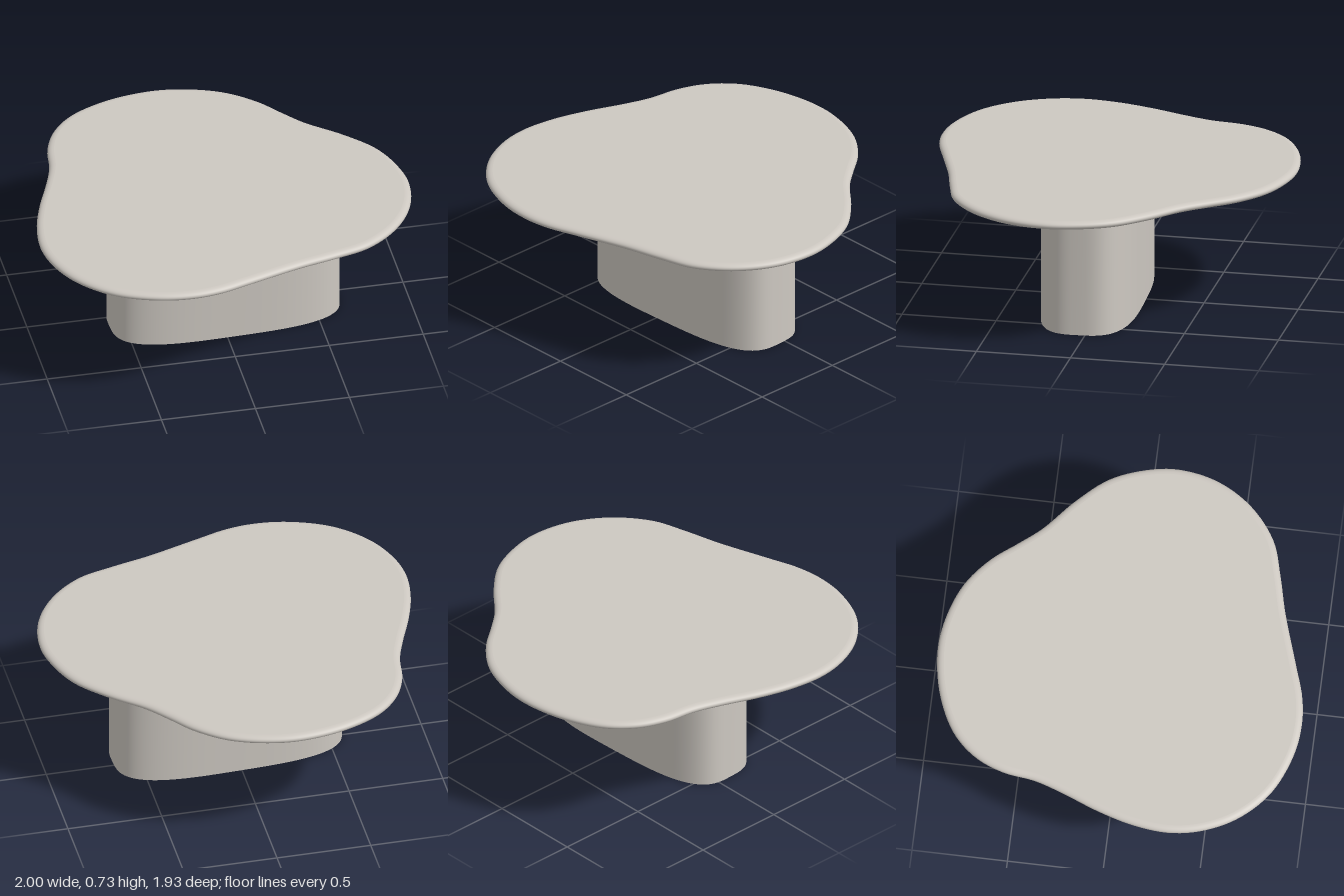
import * as THREE from 'three';
import { mergeGeometries } from 'three/addons/utils/BufferGeometryUtils.js';

// Flat horizontal cap filling an outline of (x, z) points
function cap(outline, y, up) {
  const s = up ? -1 : 1;
  const g = new THREE.ShapeGeometry(new THREE.Shape(outline.map(p => new THREE.Vector2(p.x, s * p.y))));
  g.rotateX(s * Math.PI / 2);
  g.translate(0, y, 0);
  g.deleteAttribute('uv');
  return g;
}

// Smooth wall through a stack of outlines, listed from bottom to top
function wall(rings) {
  const n = rings[0].outline.length, pos = [], idx = [];
  rings.forEach(({ outline, y }, r) => outline.forEach((p, i) => {
    pos.push(p.x, y, p.y);
    if (r + 1 === rings.length) return;
    const a = r * n + i, b = r * n + (i + 1) % n;
    idx.push(a, a + n, b, b, a + n, b + n);
  }));
  const g = new THREE.BufferGeometry();
  g.setAttribute('position', new THREE.Float32BufferAttribute(pos, 3));
  g.setIndex(idx);
  g.computeVertexNormals();
  return g;
}

function solid(rings) {
  const first = rings[0], last = rings[rings.length - 1];
  return mergeGeometries([wall(rings), cap(first.outline, first.y, false), cap(last.outline, last.y, true)]);
}

// Shift an outline inwards along its normals
function inset(outline, d) {
  const n = outline.length;
  return outline.map((p, i) => {
    const t = outline[(i + 1) % n].clone().sub(outline[(i + n - 1) % n]).normalize();
    return new THREE.Vector2(p.x - t.y * d, p.y + t.x * d);
  });
}

export function createModel() {
  const group = new THREE.Group();
  group.name = 'coffeeTable';
  const stone = new THREE.MeshStandardMaterial({ color: 0xcdc8c1 });
  stone.name = 'warmGreyStone';

  // Three-lobed table top with a bullnose edge
  const lobes = [
    [-0.13, -0.97], [0.06, -0.945], [0.24, -0.875], [0.39, -0.755], [0.49, -0.63], [0.59, -0.51],
    [0.76, -0.36], [0.9, -0.2], [0.975, -0.02], [1, 0.15], [0.96, 0.36], [0.845, 0.55],
    [0.67, 0.69], [0.48, 0.75], [0.28, 0.8], [0, 0.89], [-0.17, 0.943], [-0.32, 0.96],
    [-0.5, 0.938], [-0.72, 0.845], [-0.88, 0.69], [-0.97, 0.51], [-1, 0.34], [-0.98, 0.15],
    [-0.925, -0.04], [-0.85, -0.23], [-0.8, -0.38], [-0.773, -0.55], [-0.71, -0.7], [-0.59, -0.83], [-0.38, -0.93],
  ];
  const curve = new THREE.CatmullRomCurve3(lobes.map(([x, z]) => new THREE.Vector3(x, 0, z)), true);
  const edge = curve.getSpacedPoints(180).slice(0, -1).map(p => new THREE.Vector2(p.x, p.z));
  const rings = [];
  for (let i = 0; i <= 12; i++) {
    const a = Math.PI * (i / 12 - 0.5);
    rings.push({ outline: inset(edge, 0.035 * (1 - Math.cos(a))), y: 0.712 + 0.022 * Math.sin(a) });
  }
  const top = new THREE.Mesh(solid(rings), stone);
  top.name = 'tableTop';
  group.add(top);

  // Pedestal: softly squared oval, turned slightly
  const oval = [];
  const power = (v) => Math.sign(v) * Math.abs(v) ** (2 / 3.2);
  for (let i = 0; i < 120; i++) {
    const a = i / 120 * Math.PI * 2;
    oval.push(new THREE.Vector2(0.61 * power(Math.cos(a)), 0.254 * power(Math.sin(a))));
  }
  const pedestal = new THREE.Mesh(solid([{ outline: oval, y: 0 }, { outline: oval, y: 0.695 }]), stone);
  pedestal.name = 'pedestal';
  pedestal.position.set(0.03, 0, 0.06);
  pedestal.rotation.y = 0.04;
  group.add(pedestal);

  return group;
}
